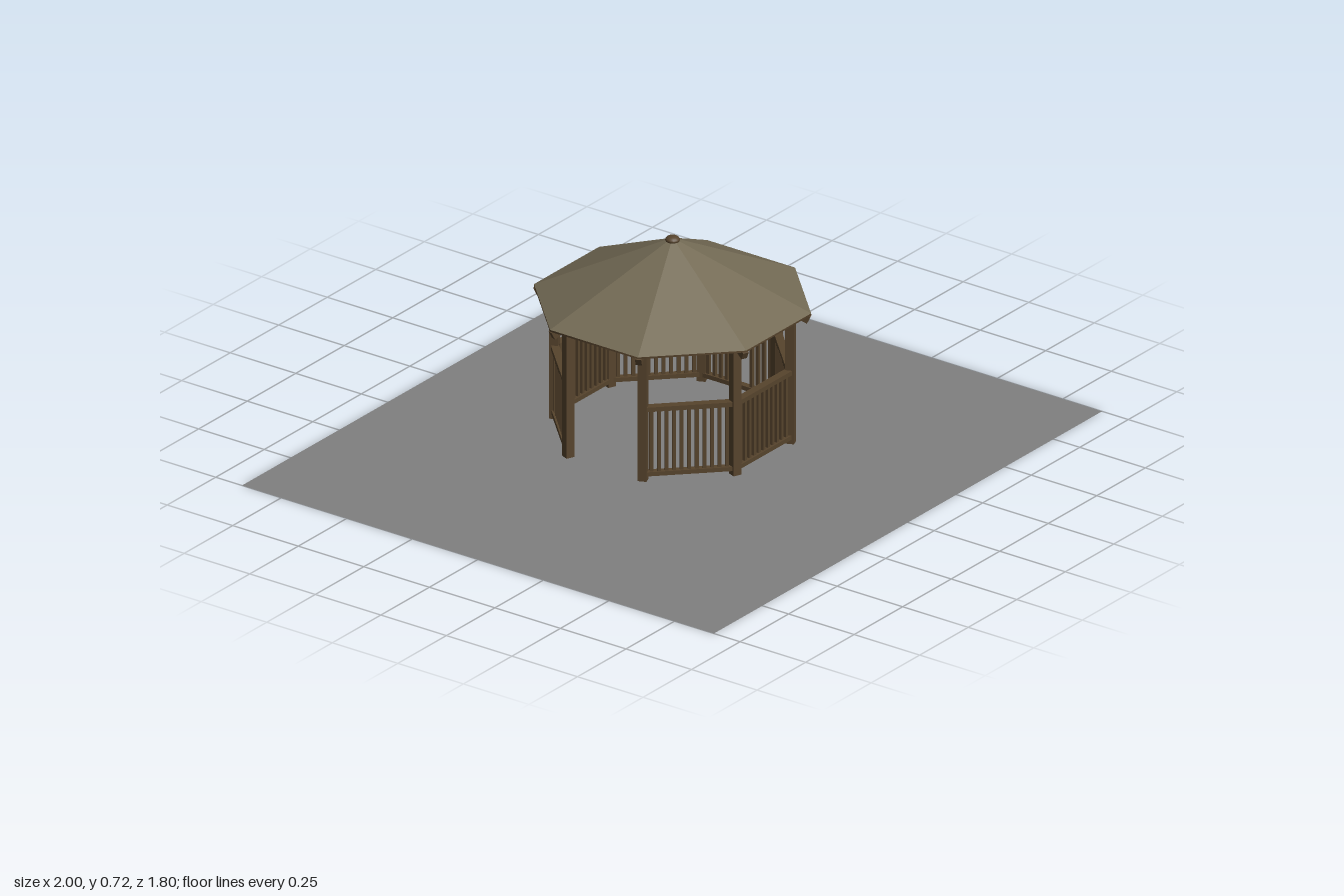
import * as THREE from 'three';

export function createModel() {
  const model = new THREE.Group();
  const mat = (name, color, extra = {}) => Object.assign(new THREE.MeshStandardMaterial({ color, ...extra }), { name });
  const wood = mat('brown wood', 0x57442d);
  const roofing = mat('olive roofing', 0x746b55, { flatShading: true });
  const stone = mat('grey ground', 0x808080, { side: THREE.DoubleSide });
  const ceilingWood = mat('dark ceiling wood', 0x4a3a27, { flatShading: true, side: THREE.BackSide });

  const add = (parent, name, geometry, material, x = 0, y = 0, z = 0) => {
    const mesh = new THREE.Mesh(geometry, material);
    mesh.name = name;
    mesh.position.set(x, y, z);
    parent.add(mesh);
    return mesh;
  };
  const box = (parent, name, w, h, d, x, y, z) =>
    add(parent, name, new THREE.BoxGeometry(w, h, d), wood, x, y, z);

  // Flat ground sheet
  add(model, 'ground', new THREE.PlaneGeometry(2, 1.8).rotateX(-Math.PI / 2), stone);

  const gazebo = new THREE.Group();
  gazebo.name = 'gazebo';
  gazebo.position.set(0.007, 0, -0.003);
  model.add(gazebo);

  const SIDES = 8, STEP = Math.PI / 4;
  const POST_R = 0.373, APOTHEM = POST_R * Math.cos(STEP / 2);
  const SPAN = 2 * POST_R * Math.sin(STEP / 2);
  const ROOF_R = 0.438, EAVE = 0.503, PEAK = 0.71;
  const slope = Math.atan2(PEAK - EAVE, ROOF_R);

  const spoke = (name, angle) => {
    const g = new THREE.Group();
    g.name = name;
    g.rotation.y = angle;
    gazebo.add(g);
    return g;
  };

  for (let k = 0; k < SIDES; k++) {
    // Corner post with a sloping rafter whose tail passes the eave
    const corner = spoke('corner', (k + 0.5) * STEP);
    box(corner, 'post', 0.028, 0.457, 0.028, 0, 0.2885, POST_R);
    const r0 = 0.012, r1 = 0.432, mid = (r0 + r1) / 2;
    const y = PEAK - mid * Math.tan(slope) - 0.023;
    const rafter = box(corner, 'rafter', 0.02, 0.026, (r1 - r0) / Math.cos(slope), 0, y, mid);
    rafter.rotation.x = slope;

    // Beam joining the post heads
    const side = spoke('side', k * STEP);
    box(side, 'ringBeam', SPAN, 0.024, 0.022, 0, 0.508, APOTHEM);

    // Railing on every side but the entrance at -x
    if (k === 6) continue;
    box(side, 'topRail', SPAN - 0.02, 0.015, 0.026, 0, 0.301, APOTHEM);
    box(side, 'bottomRail', SPAN - 0.02, 0.014, 0.022, 0, 0.082, APOTHEM);
    const hatch = k === 2;
    for (let i = -5; i <= 5; i++) {
      const low = hatch && Math.abs(i) < 2 ? 0.225 : 0.085;
      box(side, 'baluster', 0.011, 0.298 - low, 0.011, i * 0.0235, (0.298 + low) / 2, APOTHEM);
    }
    // Small opening in the railing opposite the entrance
    if (hatch) box(side, 'hatchLintel', 0.094, 0.008, 0.014, 0, 0.228, APOTHEM);
  }

  // Eight-sided roof, its boarded underside and the cap
  const cone = (r, h) => new THREE.ConeGeometry(r, h, SIDES, 1, true).rotateY(STEP / 2);
  const h = PEAK - EAVE;
  add(gazebo, 'roof', cone(ROOF_R, h), roofing, 0, EAVE + h / 2, 0);
  add(gazebo, 'ceiling', cone(ROOF_R, h), ceilingWood, 0, EAVE + h / 2 - 0.006, 0);
  const fascia = new THREE.CylinderGeometry(ROOF_R, ROOF_R, 0.006, SIDES, 1, true).rotateY(STEP / 2);
  add(gazebo, 'eaveEdge', fascia, wood, 0, EAVE - 0.003, 0);
  const cap = add(gazebo, 'roofCap', new THREE.SphereGeometry(0.023, 16, 10), wood, 0, 0.704, 0);
  cap.scale.y = 0.55;

  return model;
}
